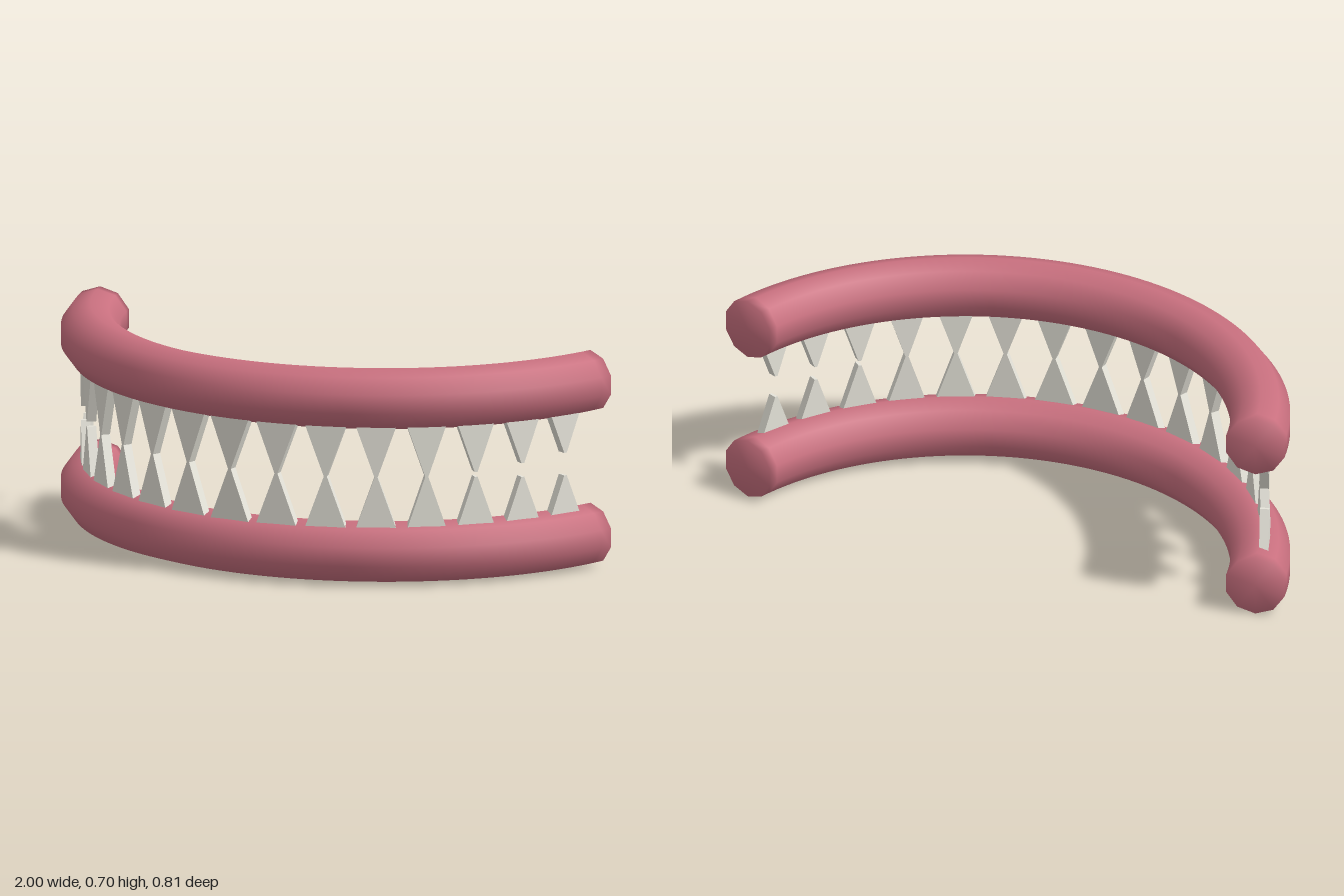
import * as THREE from 'three';
import { mergeVertices } from 'three/addons/utils/BufferGeometryUtils.js';

const R = 0.946, CZ = -0.636;            // gum arc radius and centre
const END = THREE.MathUtils.degToRad(74.2);
const GUM = 0.1, LOW = 0.1, HIGH = 0.602, MID = (LOW + HIGH) / 2;
const SIDES = 10, SEGS = 64;

class GumArc extends THREE.Curve {
  getPoint(t, target = new THREE.Vector3()) {
    const a = (2 * t - 1) * END;
    return target.set(R * Math.sin(a), 0, CZ + R * Math.cos(a));
  }
}

// Ten-sided tube with end caps that share normals with the sides
function gumGeometry() {
  const arc = new GumArc();
  const tube = new THREE.TubeGeometry(arc, SEGS, GUM, SIDES, false);
  const pos = Array.from(tube.attributes.position.array);
  const index = Array.from(tube.index.array);
  const first = pos.length / 3, last = SEGS * (SIDES + 1);
  pos.push(...arc.getPoint(0).toArray(), ...arc.getPoint(1).toArray());
  for (let i = 0; i < SIDES; i++) {
    index.push(first, i, i + 1);
    index.push(first + 1, last + i + 1, last + i);
  }
  const geo = new THREE.BufferGeometry();
  geo.setAttribute('position', new THREE.Float32BufferAttribute(pos, 3));
  geo.setIndex(index);
  const merged = mergeVertices(geo, 1e-5);
  merged.computeVertexNormals();
  return merged;
}

// Flat tapered tooth: base at y = 0, tip pointing up
function toothGeometry(width, height) {
  const depth = 0.03, tip = 0.005;
  const s = new THREE.Shape();
  s.moveTo(-width / 2, 0);
  s.lineTo(width / 2, 0);
  s.lineTo(tip, height);
  s.lineTo(-tip, height);
  s.closePath();
  const geo = new THREE.ExtrudeGeometry(s, { depth, bevelEnabled: false });
  return geo.translate(0, 0, -depth / 2);
}

export function createModel() {
  const model = new THREE.Group();
  model.name = 'jaws';
  const gumMat = new THREE.MeshStandardMaterial({ color: 0xc9707f });
  const toothMat = new THREE.MeshStandardMaterial({ color: 0xe6e4da, flatShading: true });
  const gumGeo = gumGeometry();

  for (const upper of [false, true]) {
    const side = upper ? 'upper' : 'lower';
    const gum = new THREE.Mesh(gumGeo, gumMat);
    gum.name = side + 'Gum';
    gum.position.y = upper ? HIGH : LOW;
    model.add(gum);

    // Fifteen teeth, shorter and narrower towards the back
    const teeth = new THREE.Group();
    teeth.name = side + 'Teeth';
    for (let k = -7; k <= 7; k++) {
      const n = Math.abs(k);
      const a = THREE.MathUtils.degToRad(9.5 * k);
      const base = 0.172;                // distance from mid-plane to tooth base
      const gap = Math.max(0, 0.008 + 0.0145 * (n - 5));
      const tooth = new THREE.Mesh(toothGeometry(0.143 - 0.0035 * n, base - gap), toothMat);
      tooth.name = side + 'Tooth';
      const r = 0.978 - 0.0025 * n;
      tooth.position.set(r * Math.sin(a), upper ? MID + base : MID - base, CZ + r * Math.cos(a));
      tooth.rotation.set(0, a, upper ? Math.PI : 0);
      teeth.add(tooth);
    }
    model.add(teeth);
  }
  return model;
}
